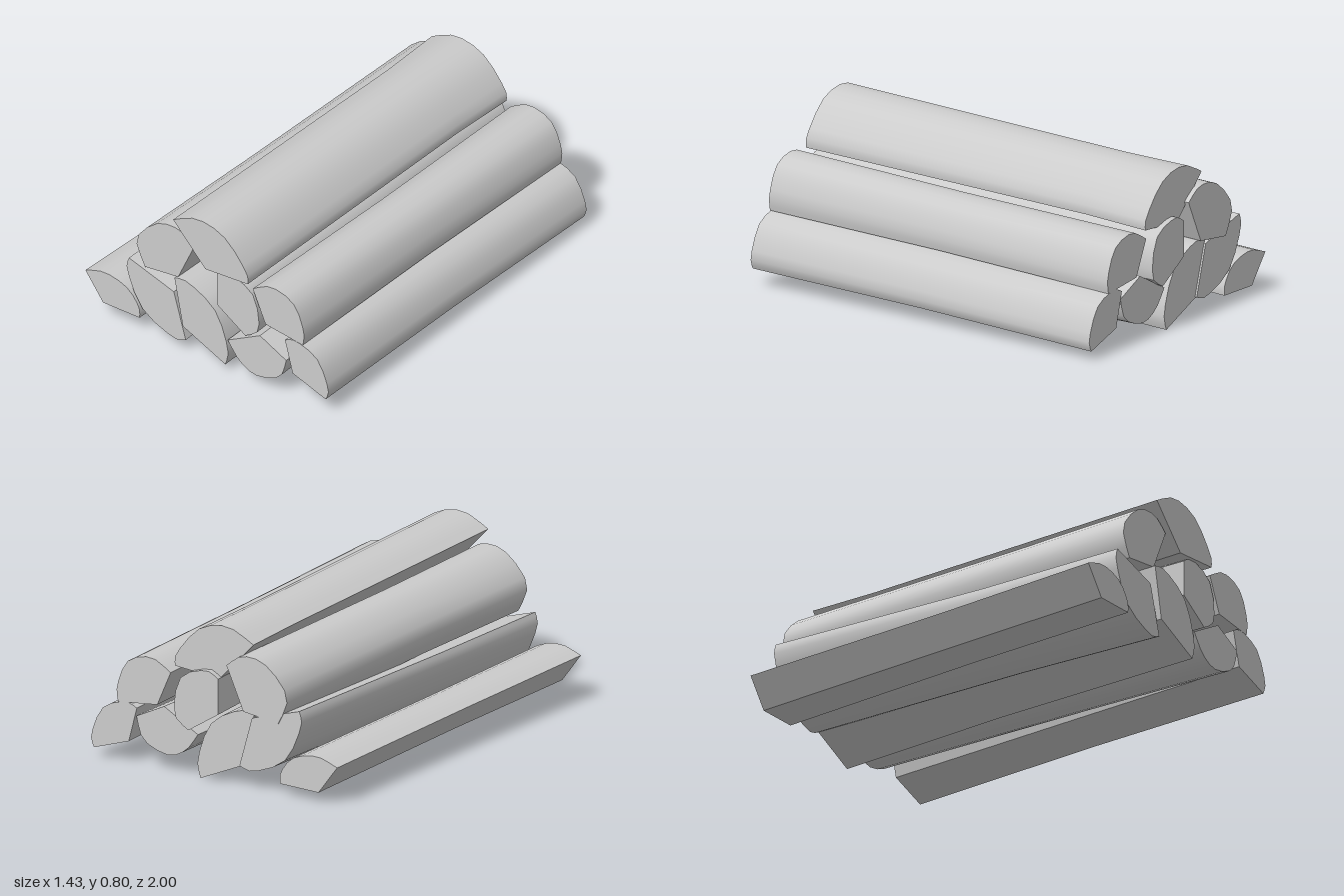
import * as THREE from 'three';
import { toCreasedNormals } from 'three/addons/utils/BufferGeometryUtils.js';

const material = new THREE.MeshStandardMaterial({ color: 0xcccccc });
const points = (list) => list.map(([x, y]) => new THREE.Vector2(x, y));

// Cross-section: two straight split faces (3 corners) closed by a rounded bark curve
function wedge(split, bark) {
  const corners = points(split);
  const curve = new THREE.SplineCurve([corners[2], ...points(bark), corners[0]]);
  const outline = [corners[0], corners[1], ...curve.getPoints(10).slice(0, -1)];
  return THREE.ShapeUtils.area(outline) < 0 ? outline.reverse() : outline;
}

// Loft the section from front to back, drifting sideways and slightly waisted at the bend
function logGeometry(section, shift, zFront, zBend, zBack) {
  const n = section.length;
  const centre = section.reduce((s, p) => s.add(p), new THREE.Vector2()).divideScalar(n);
  const position = [], index = [];
  const rings = [[zFront, 1], [zBend, 0.96], [zBack, 1]];
  for (const [z, scale] of rings) {
    const t = (zFront - z) / (zFront - zBack);
    const cx = centre.x + shift[0] * t, cy = centre.y + shift[1] * t;
    for (const p of section) {
      position.push(cx + (p.x - centre.x) * scale, cy + (p.y - centre.y) * scale, z);
    }
  }
  // Long sides
  for (let r = 0; r < rings.length - 1; r++) {
    for (let i = 0; i < n; i++) {
      const a = r * n + i, b = r * n + (i + 1) % n;
      index.push(a, a + n, b, b, a + n, b + n);
    }
  }
  // Sawn ends
  const front = rings.length * n, back = front + 1, last = (rings.length - 1) * n;
  position.push(centre.x, centre.y, zFront);
  position.push(centre.x + shift[0], centre.y + shift[1], zBack);
  for (let i = 0; i < n; i++) {
    const j = (i + 1) % n;
    index.push(front, i, j, back, last + j, last + i);
  }
  const geometry = new THREE.BufferGeometry();
  geometry.setAttribute('position', new THREE.Float32BufferAttribute(position, 3));
  geometry.setIndex(index);
  return toCreasedNormals(geometry, 0.65);
}

export function createModel() {
  const group = new THREE.Group();
  group.name = 'firewoodPile';

  function addLog(name, split, bark, shift, zFront, zBend, zBack) {
    const mesh = new THREE.Mesh(logGeometry(wedge(split, bark), shift, zFront, zBend, zBack), material);
    mesh.name = name;
    group.add(mesh);
  }

  // Bottom layer, from right to left
  addLog('outerRightLog', [[-0.715, 0.225], [-0.61, 0.085], [-0.395, 0.09]],
    [[-0.4, 0.15], [-0.47, 0.23], [-0.6, 0.26]], [0.05, -0.03], 0.985, 0.1, -0.985);
  addLog('lowerRightLog', [[-0.465, 0.395], [-0.2, 0.315], [-0.13, 0.07]],
    [[-0.21, 0.055], [-0.385, 0.14], [-0.475, 0.32]], [0.01, 0.04], 0.975, 0.2, -0.99);
  addLog('lowerMiddleLog', [[-0.185, 0.41], [-0.135, 0.155], [0.115, 0.045]],
    [[0.13, 0.14], [0.055, 0.325], [-0.1, 0.415]], [-0.01, -0.04], 0.99, -0.1, -0.98);
  addLog('lowerLeftLog', [[0.13, 0.19], [0.32, 0.295], [0.475, 0.22]],
    [[0.435, 0.11], [0.3, 0.06], [0.2, 0.1]], [-0.01, 0.025], 0.99, 0.2, -0.98);
  addLog('outerLeftLog', [[0.46, 0.325], [0.505, 0.155], [0.7, 0.09]],
    [[0.715, 0.155], [0.65, 0.295], [0.525, 0.345]], [0, -0.04], 0.98, 0, -0.985);

  // Middle layer
  addLog('upperRightLog', [[-0.08, 0.62], [-0.175, 0.41], [-0.37, 0.385]],
    [[-0.42, 0.525], [-0.3, 0.66], [-0.17, 0.68]], [0.03, -0.03], 0.975, 0.2, -0.995);
  addLog('coreLog', [[0.06, 0.53], [0.06, 0.355], [0.225, 0.25]],
    [[0.305, 0.32], [0.27, 0.5], [0.13, 0.56]], [-0.065, -0.015], 0.98, -0.6, -1);
  addLog('upperLeftLog', [[0.27, 0.535], [0.345, 0.365], [0.565, 0.34]],
    [[0.57, 0.42], [0.51, 0.55], [0.38, 0.59]], [0, -0.042], 0.98, 0, -0.985);

  // Top log
  addLog('topLog', [[-0.185, 0.745], [0.005, 0.545], [0.255, 0.565]],
    [[0.245, 0.63], [0.12, 0.77], [-0.04, 0.808]], [0, -0.038], 1, -0.62, -0.97);

  return group;
}
